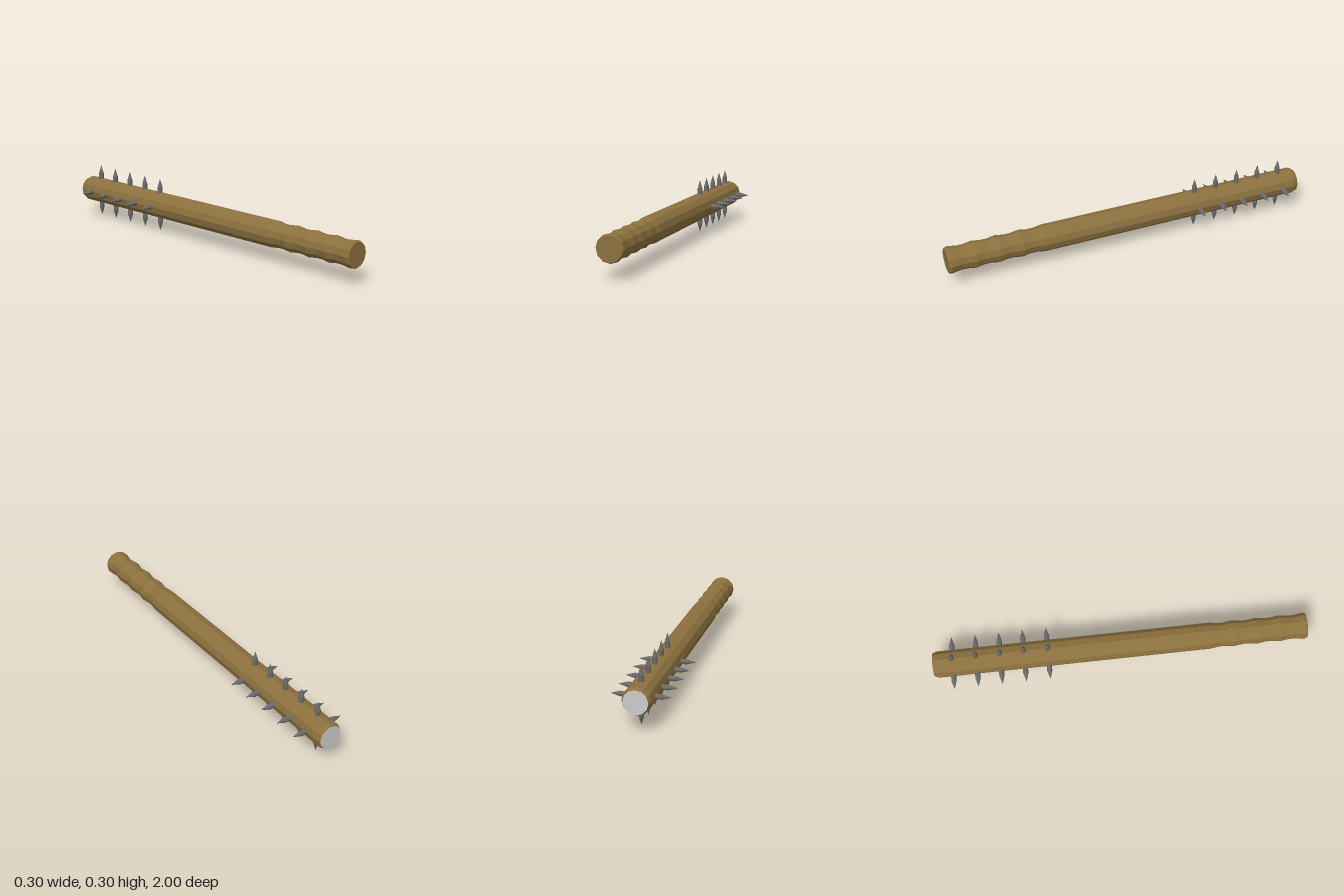
import * as THREE from 'three';

const SIDES = 12, AXIS_Y = 0.148;
const material = (color) => new THREE.MeshStandardMaterial({ color, flatShading: true });

export function createModel() {
  const club = new THREE.Group();
  club.name = 'spikedClub';
  const wood = material(0x8c713e), iron = material(0x6a6a6a), grey = material(0xcccccc);

  // Wooden shaft: [radius, z] from the head end to the grip end
  const profile = [[0.062, -1], [0.071, -0.98], [0.071, 0.48]];
  for (let i = 0; i < 4; i++) {
    // finger grooves of the grip
    const z = 0.48 + i * 0.125;
    profile.push([0.064, z + 0.045], [0.064, z + 0.08], [0.071, z + 0.125]);
  }
  profile.push([0.071, 0.99], [0.066, 1], [0, 1]);
  const shaftGeometry = new THREE.LatheGeometry(
    profile.map(([r, z]) => new THREE.Vector2(r, z)), SIDES);
  shaftGeometry.rotateX(Math.PI / 2);
  const shaft = new THREE.Mesh(shaftGeometry, wood);
  shaft.name = 'shaft';
  club.add(shaft);

  // Bare end face of the head
  const endCap = new THREE.Mesh(new THREE.CircleGeometry(0.062, SIDES), grey);
  endCap.name = 'headEndFace';
  endCap.rotation.y = Math.PI;
  endCap.position.z = -1;
  club.add(endCap);

  // Iron spikes: five rings of four
  const spikeGeometry = new THREE.LatheGeometry(
    [[0.014, 0.055], [0.014, 0.1], [0, 0.148]].map(([r, y]) => new THREE.Vector2(r, y)), 8);
  for (let ring = 0; ring < 5; ring++) {
    for (let k = 0; k < 4; k++) {
      const spike = new THREE.Mesh(spikeGeometry, iron);
      spike.name = 'spike';
      spike.rotation.z = k * Math.PI / 2;
      spike.position.z = -0.39 - ring * 0.127;
      club.add(spike);
    }
  }

  club.position.y = AXIS_Y;
  const model = new THREE.Group();
  model.name = 'model';
  model.add(club);
  return model;
}
